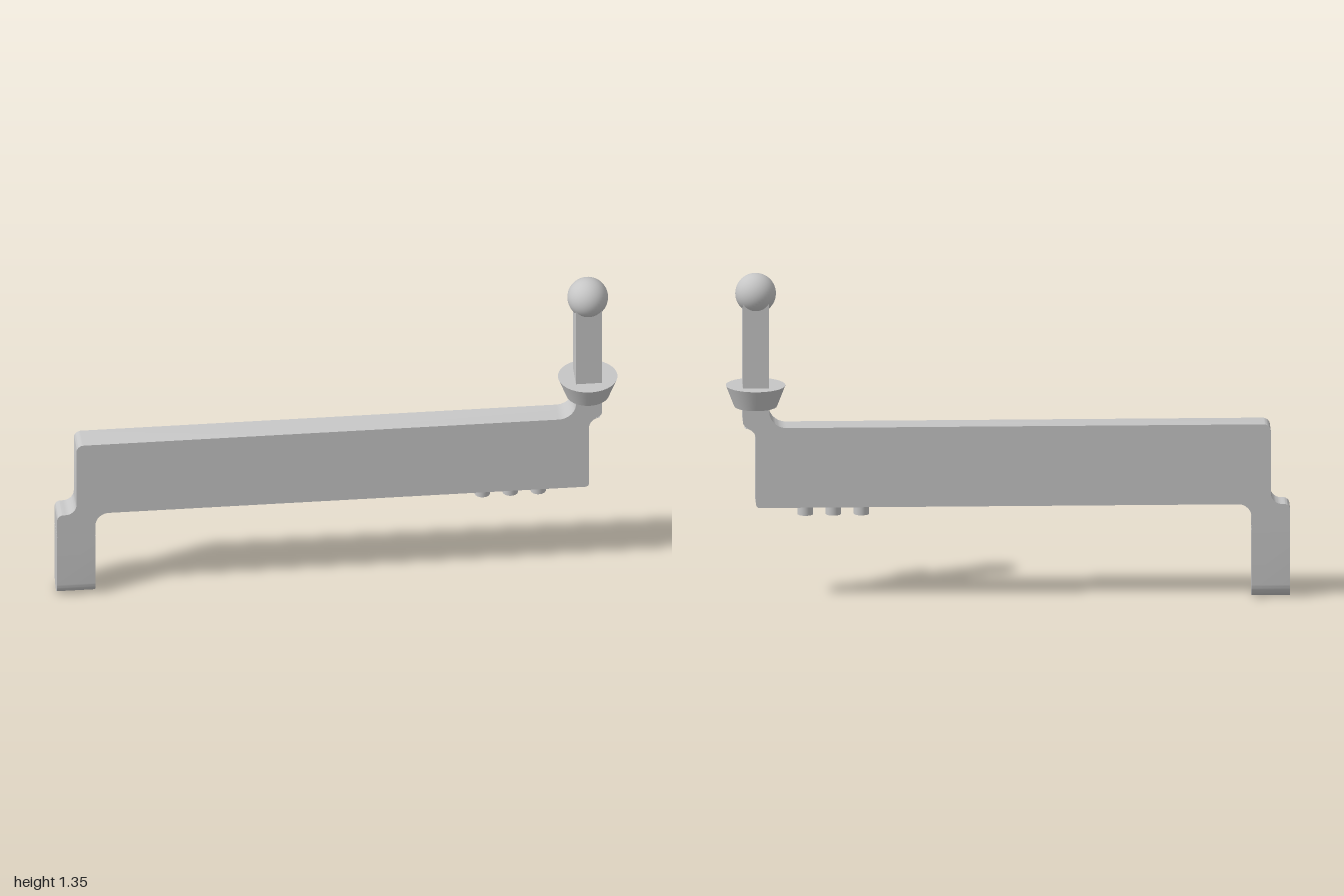
import * as THREE from 'three';
import { toCreasedNormals } from 'three/addons/utils/BufferGeometryUtils.js';

const THICK = 0.11;

// Closed outline of [x, y, radius] corners, each rounded by a quarter arc
function roundedOutline(corners) {
  const shape = new THREE.Shape();
  const n = corners.length;
  corners.forEach(([x, y, r], i) => {
    const p = new THREE.Vector2(x, y);
    const towards = (c, dist) => new THREE.Vector2(c[0], c[1]).sub(p).setLength(dist).add(p);
    const prev = corners[(i + n - 1) % n], next = corners[(i + 1) % n];
    const a = r ? towards(prev, r) : p;
    if (i === 0) shape.moveTo(a.x, a.y); else shape.lineTo(a.x, a.y);
    if (r) {
      const b = towards(next, r), k = r * 0.4477;
      const c1 = towards(prev, k), c2 = towards(next, k);
      shape.bezierCurveTo(c1.x, c1.y, c2.x, c2.y, b.x, b.y);
    }
  });
  shape.closePath();
  return shape;
}

function extrude(shape, depth) {
  const geo = new THREE.ExtrudeGeometry(shape, { depth, bevelEnabled: false, curveSegments: 12 });
  geo.translate(0, 0, -depth / 2);
  return toCreasedNormals(geo, 0.6);
}

export function createModel() {
  const model = new THREE.Group();
  model.name = 'crankArm';
  const grey = new THREE.MeshStandardMaterial({ color: 0xc6c6c6 });
  grey.name = 'lightGrey';

  // The arm lies along local x, with the post at the local origin
  const arm = new THREE.Group();
  arm.name = 'arm';
  arm.position.set(0.509, 0, -0.879);
  arm.rotation.y = THREE.MathUtils.degToRad(59.5);
  model.add(arm);

  const add = (name, geo, x = 0, y = 0) => {
    const mesh = new THREE.Mesh(geo, grey);
    mesh.name = name;
    mesh.position.set(x, y, 0);
    arm.add(mesh);
  };

  // Bar with the upper part of the foot and the post, as one plate;
  // its lower end is slightly eased to leave a fine seam above the foot
  const footOuter = -2.15, footInner = -1.995, post = 0.053;
  add('barAndPost', extrude(roundedOutline([
    [footOuter, 0.285, 0.004],
    [footInner, 0.285, 0.004],
    [footInner, 0.39, 0.055],
    [0, 0.39, 0.015],
    [0, 0.72, 0.045],
    [post, 0.72, 0.03],
    [post, 1.25, 0],
    [-post, 1.25, 0],
    [-post, 0.721, 0.07],
    [-2.072, 0.721, 0.03],
    [-2.072, 0.39, 0.045],
    [footOuter, 0.39, 0.025],
  ]), THICK));

  // Lower foot with a half-round sole
  const r = THICK / 2;
  const sole = new THREE.Shape();
  sole.moveTo(r, 0.285);
  sole.lineTo(-r, 0.285);
  sole.lineTo(-r, r);
  sole.absarc(0, r, r, Math.PI, Math.PI * 2, false);
  sole.closePath();
  add('foot', extrude(sole, footInner - footOuter).rotateY(Math.PI / 2), (footOuter + footInner) / 2);

  // Collar and ball on the post
  add('collar', new THREE.CylinderGeometry(0.12, 0.086, 0.087, 48), 0, 0.8435);
  add('ball', new THREE.SphereGeometry(0.082, 40, 28), 0, 1.268);

  // Three pegs under the bar
  for (const x of [-0.426, -0.313, -0.2]) {
    add('peg', new THREE.CylinderGeometry(0.031, 0.031, 0.05, 28), x, 0.375);
  }
  return model;
}
